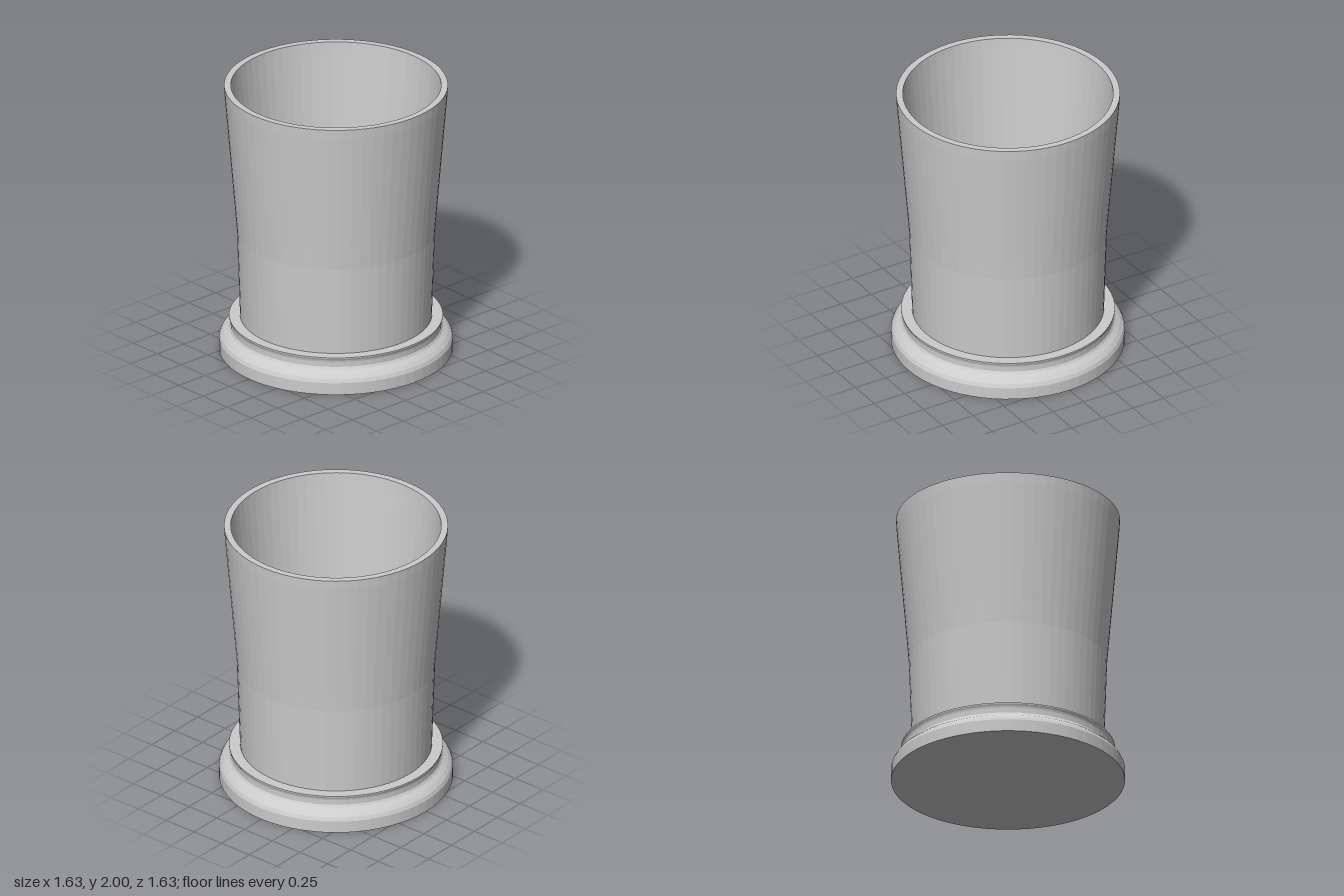
import * as THREE from 'three';

const SEGMENTS = 64;
const material = new THREE.MeshStandardMaterial({ color: 0xcccccc, flatShading: true });

// Revolve a [radius, height] profile around the vertical axis
function turned(name, profile) {
  const points = profile.map(([r, y]) => new THREE.Vector2(r, y));
  const mesh = new THREE.Mesh(new THREE.LatheGeometry(points, SEGMENTS), material);
  mesh.name = name;
  return mesh;
}

export function createModel() {
  const group = new THREE.Group();
  group.name = 'tumbler';

  // Stepped foot: plinth, rounded shoulder, narrow neck and flared collar
  group.add(turned('base', [
    [0, 0], [0.815, 0], [0.815, 0.088], [0.803, 0.115], [0.78, 0.138],
    [0.745, 0.162], [0.735, 0.178], [0.735, 0.215], [0.738, 0.228],
    [0.745, 0.242], [0.745, 0.25], [0.62, 0.25],
  ]));

  // Flared cup: outer wall, flat rim, inner wall and floor
  group.add(turned('cup', [
    [0.668, 0.24], [0.69, 0.9], [0.702, 1.05], [0.776, 1.93], [0.78, 2],
    [0.733, 2], [0.728, 1.93], [0.652, 1.05], [0.64, 0.9], [0.632, 0.27], [0, 0.27],
  ]));

  return group;
}
